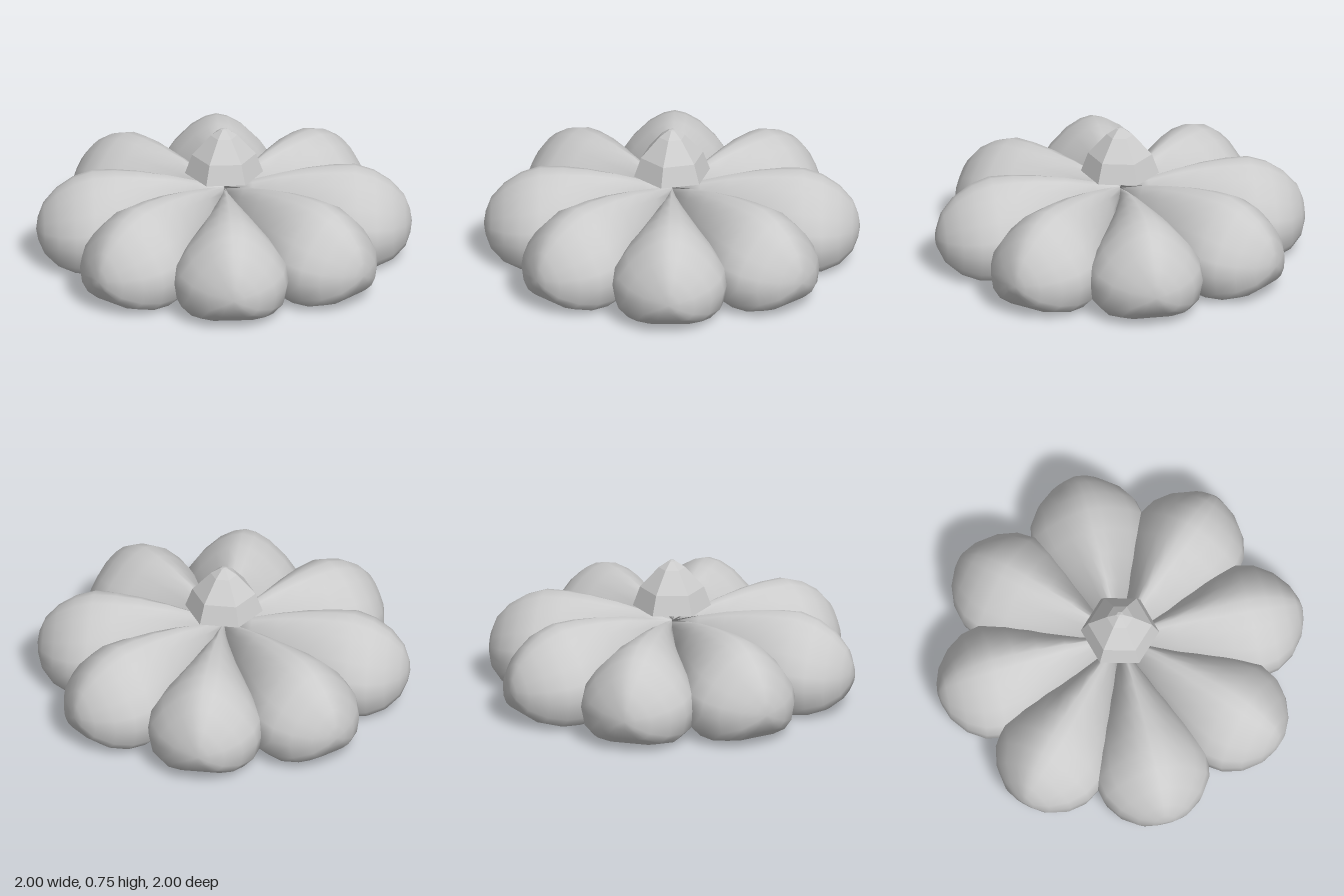
import * as THREE from 'three';
import { mergeVertices } from 'three/addons/utils/BufferGeometryUtils.js';

// Cross-sections along a lobe: [distance from centre, half width, bottom, top]
const STATIONS = [
  [0, 0, 0.1, 0.42], [0.15, 0.075, 0.06, 0.46], [0.3, 0.145, 0.035, 0.495],
  [0.45, 0.22, 0.02, 0.518], [0.58, 0.28, 0.012, 0.527], [0.7, 0.31, 0.01, 0.525],
  [0.8, 0.29, 0.015, 0.49], [0.89, 0.23, 0.04, 0.43], [0.96, 0.14, 0.09, 0.35],
  [0.99, 0.06, 0.15, 0.27], [1, 0, 0.2, 0.2],
];

// Right half of the rounded-triangle section, bottom to top, in unit scale
const HALF = [
  [0, 0], [0.45, 0], [0.75, 0.04], [0.93, 0.15], [1, 0.36],
  [0.94, 0.52], [0.74, 0.7], [0.45, 0.88], [0.2, 0.97], [0, 1],
];

// Teardrop lobe reaching from the centre to z = 1
function lobeGeometry() {
  const mirrored = HALF.slice(1, -1).reverse().map(([u, v]) => [-u, v]);
  const section = [...HALF, ...mirrored];
  const n = section.length;
  const positions = [];
  const indices = [];
  STATIONS.forEach(([r, w, bottom, top], i) => {
    section.forEach(([u, v], j) => {
      positions.push(u * w, bottom + v * (top - bottom), r);
      if (i === STATIONS.length - 1) return;
      const a = i * n + j;
      const b = i * n + ((j + 1) % n);
      indices.push(a, b, a + n, b, b + n, a + n);
    });
  });
  const geometry = new THREE.BufferGeometry();
  geometry.setAttribute('position', new THREE.Float32BufferAttribute(positions, 3));
  geometry.setIndex(indices);
  const merged = mergeVertices(geometry, 1e-4);
  merged.computeVertexNormals();
  return merged;
}

export function createModel() {
  const model = new THREE.Group();
  model.name = 'lobedBody';

  // Ring of eight smooth lobes
  const smooth = new THREE.MeshStandardMaterial({ color: 0xcccccc });
  const geometry = lobeGeometry();
  const lobes = new THREE.Group();
  lobes.name = 'lobes';
  for (let i = 0; i < 8; i++) {
    const lobe = new THREE.Mesh(geometry, smooth);
    lobe.name = `lobe${i + 1}`;
    lobe.rotation.y = (i * Math.PI) / 4;
    lobes.add(lobe);
  }
  model.add(lobes);

  // Six-sided pointed cap in the middle, closed underneath
  const capProfile = [[0, 0.5], [0.208, 0.505], [0.17, 0.61], [0.07, 0.72], [0.02, 0.755], [0, 0.76]]
    .map(([x, y]) => new THREE.Vector2(x, y));
  const cap = new THREE.Mesh(
    new THREE.LatheGeometry(capProfile, 6, Math.PI / 2),
    new THREE.MeshStandardMaterial({ color: 0xcccccc, flatShading: true }),
  );
  cap.name = 'centreCap';
  model.add(cap);

  return model;
}
